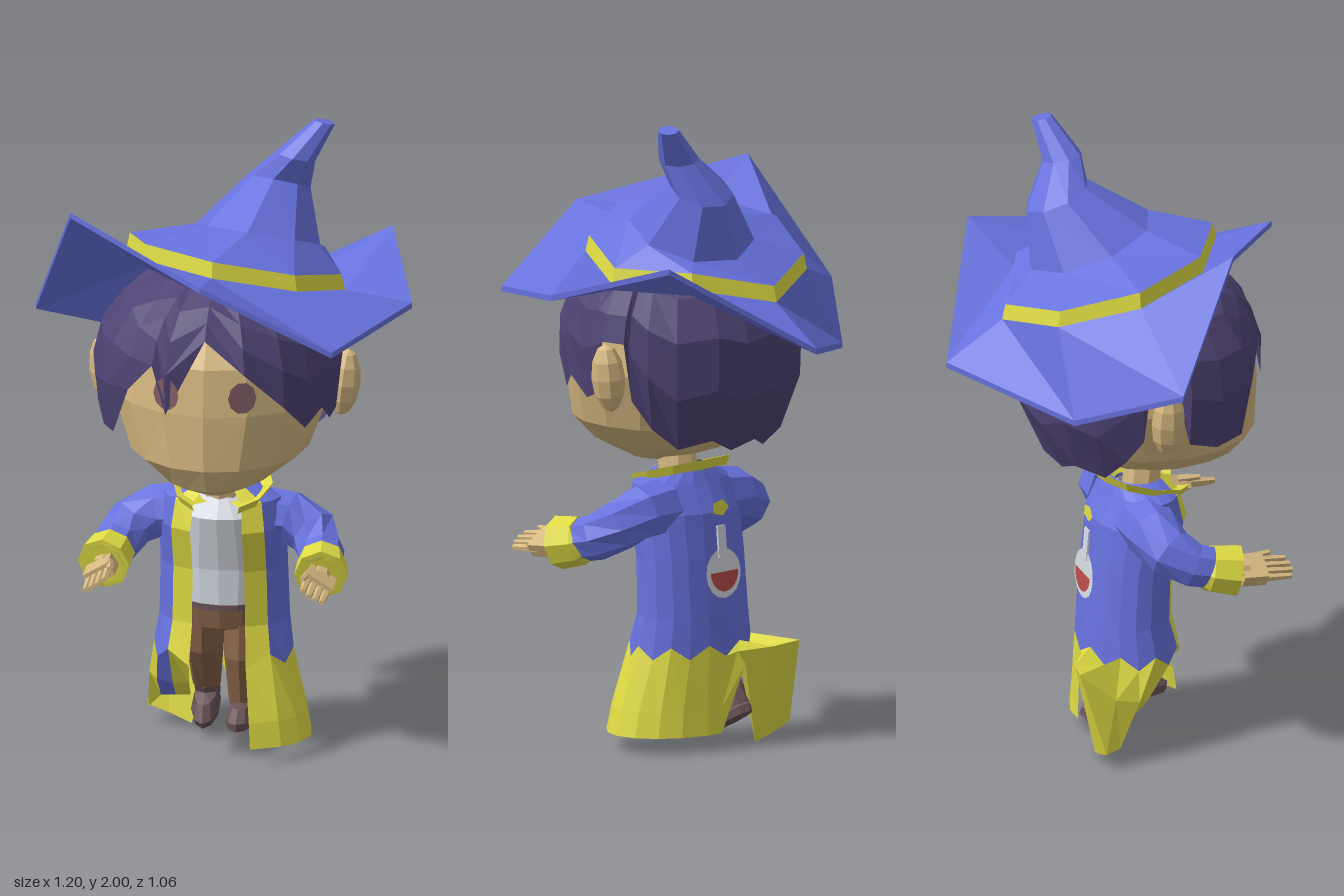
import * as THREE from 'three';

const V = (x, y, z) => new THREE.Vector3(x, y, z);
const rad = THREE.MathUtils.degToRad;
const mat = (name, color) => {
  const m = new THREE.MeshStandardMaterial({ color, flatShading: true, side: THREE.DoubleSide });
  m.name = name;
  return m;
};

export function createModel() {
  const blue = mat('blue cloth', 0x6772de), yellow = mat('yellow trim', 0xdfdb44);
  const skin = mat('skin', 0xd7b981), hairMat = mat('dark purple hair', 0x4f4374);
  const brown = mat('brown trousers', 0x876348), bootMat = mat('boot leather', 0x695356);
  const white = mat('pale shirt', 0xd6dae2), red = mat('red', 0xb84c48), iris = mat('eye', 0x845f66);
  const model = new THREE.Group();
  model.name = 'wizardFigure';

  const add = (name, geo, m, parent = model) => {
    const mesh = new THREE.Mesh(geo, m);
    mesh.name = name;
    parent.add(mesh);
    return mesh;
  };

  // Skin of quads between rows of points; pick(row, column) chooses each quad's material
  const sheet = (name, rows, mats, pick = () => 0, closed = true, parent = model) => {
    const lists = mats.map(() => []), n = rows[0].length;
    for (let r = 0; r < rows.length - 1; r++) {
      for (let c = 0; c < (closed ? n : n - 1); c++) {
        const d = (c + 1) % n;
        const a = rows[r][c], b = rows[r][d], e = rows[r + 1][d], f = rows[r + 1][c];
        for (const p of [a, b, e, a, e, f]) lists[pick(r, c)].push(p.x, p.y, p.z);
      }
    }
    const geo = new THREE.BufferGeometry();
    geo.setAttribute('position', new THREE.Float32BufferAttribute(lists.flat(), 3));
    let start = 0;
    lists.forEach((l, i) => { geo.addGroup(start, l.length / 3, i); start += l.length / 3; });
    geo.computeVertexNormals();
    return add(name, geo, mats.length > 1 ? mats : mats[0], parent);
  };

  // Horizontal elliptical ring; angle 0 is the front, positive towards +x
  const ring = ([y, rx, rz, cz, cx = 0], angles) =>
    angles.map(a => V(cx + rx * Math.sin(rad(a)), y, cz + rz * Math.cos(rad(a))));
  const around = n => Array.from({ length: n }, (_, i) => i * 360 / n);
  const stack = (name, rings, m, n = 12, parent = model) =>
    sheet(name, rings.map(r => ring(r, around(n))), [m], undefined, true, parent);

  // Limb: rings set square to a path, each point [x, y, z, radius]
  const limbRows = (pts, n) => pts.map((p, i) => {
    const at = q => V(q[0], q[1], q[2]);
    const dir = at(pts[Math.min(i + 1, pts.length - 1)]).sub(at(pts[Math.max(i - 1, 0)])).normalize();
    const side = V(0, 1, 0).cross(dir).normalize(), up = dir.clone().cross(side);
    return around(n).map(a => at(p).addScaledVector(side, p[3] * Math.cos(rad(a)))
      .addScaledVector(up, p[3] * Math.sin(rad(a))));
  });

  // Head, neck, ears and eyes
  stack('head', [[0.875, 0, 0, 0.21], [0.885, 0.06, 0.08, 0.2], [0.94, 0.17, 0.235, 0.175],
    [1.02, 0.28, 0.315, 0.14], [1.2, 0.347, 0.358, 0.1], [1.35, 0.335, 0.345, 0.1],
    [1.45, 0.27, 0.28, 0.1], [1.52, 0, 0, 0.1]], skin, 16);
  stack('neck', [[0.78, 0.065, 0.065, 0.09], [0.94, 0.055, 0.06, 0.11]], skin, 8);
  for (const s of [-1, 1]) {
    const ear = add(s > 0 ? 'leftEar' : 'rightEar', new THREE.SphereGeometry(1, 8, 6), skin);
    ear.scale.set(0.05, 0.11, 0.055);
    ear.position.set(s * 0.376, 1.2, 0.045);
    ear.rotation.z = -s * 0.12;
    const eye = add(s > 0 ? 'leftEye' : 'rightEye', new THREE.CircleGeometry(0.045, 10), iris);
    eye.scale.y = 1.15;
    eye.position.set(s * 0.12, 1.265, 0.44);
    eye.rotation.y = s * 0.36;
  }

  // Hair: dome with a jagged hem, given as [angle, height]; the right side lock flares out
  const hem = [[0, 1.44], [20, 1.34], [40, 1.22], [55, 1.13], [66, 1.18], [78, 1.12], [86, 1.14], [92, 1.31],
    [104, 1.31], [107, 1.13], [116, 1.04], [130, 0.97], [150, 1], [165, 0.96], [180, 0.99], [195, 0.96],
    [212, 1], [230, 0.97], [244, 1.05], [253, 1.13], [256, 1.31], [268, 1.31], [274, 1.12], [290, 1.08],
    [306, 1.09], [318, 1.25], [333, 1.35], [341, 1.2]];
  const hairRows = [0, 1, 2, 3, 4, 5].map(k => hem.map(([a, h]) => {
    const f = Math.acos((h - 1.28) / (h > 1.28 ? 0.3 : 0.42)) * k / 5, c = Math.cos(f);
    const flare = a > 270 && a < 310 ? 1 + 0.018 * k : 1;
    const r = Math.pow(Math.max(Math.sin(f), 0), 0.7) * flare;
    return ring([1.28 + (c > 0 ? 0.3 : 0.42) * c, 0.376 * r, 0.388 * r, 0.085], [a])[0];
  }));
  sheet('hair', hairRows, [hairMat]);

  // Hat: curled eight-cornered brim, band, sloping shelf and bent cone
  const brim = [[0.045, 1.32, -0.53], [0.47, 1.6, -0.3], [0.595, 1.485, 0.085], [0.405, 1.44, 0.47],
    [0, 1.65, 0.53], [-0.455, 1.77, 0.23], [-0.6, 1.39, 0.01], [-0.36, 1.25, -0.26]].map(p => V(...p));
  const base = [[0.035, -0.35, 0], [0.28, -0.22, 0.06], [0.375, 0.03, 0.01], [0.26, 0.25, 0], [0.01, 0.35, 0],
    [-0.23, 0.215, 0], [-0.32, -0.025, 0], [-0.205, -0.255, 0]];
  const baseRow = (y, k) => base.map(([x, z, lift]) => V(x * k, y + lift - 0.15 * x + 0.25 * z, z * k));
  const cone = (x, y, z, r, tiltX, tiltZ) => base.map((_, i) => {
    const a = rad(180 - 45 * i), dx = r * Math.sin(a), dz = r * Math.cos(a);
    return V(x + dx, y + tiltX * dx + tiltZ * dz, z + dz);
  });
  sheet('hat', [brim, baseRow(1.535, 1), baseRow(1.585, 0.97), cone(0.09, 1.64, -0.04, 0.195, -0.12, 0.36),
    cone(0.14, 1.785, -0.13, 0.1, -0.15, 0.4), cone(0.2, 1.885, -0.09, 0.062, -0.2, 0.15),
    cone(0.285, 1.99, -0.125, 0.033, -0.2, 0.15), cone(0.285, 1.99, -0.125, 0, 0, 0)],
  [blue, yellow], r => (r === 1 ? 1 : 0));
  sheet('brimUnderside', [brim, brim.map(p => V(p.x, p.y - 0.018, p.z)), baseRow(1.517, 1),
    baseRow(1.55, 0.6)], [blue]);

  // Shirt, belt and hips
  stack('shirt', [[0.84, 0.06, 0.065, 0.085], [0.78, 0.14, 0.12, 0.09], [0.6, 0.165, 0.116, 0.05],
    [0.47, 0.15, 0.115, 0.045]], white, 16);
  stack('belt', [[0.485, 0.152, 0.118, 0.045], [0.465, 0.15, 0.118, 0.045]], bootMat, 16);
  stack('hips', [[0.47, 0.145, 0.112, 0.045], [0.4, 0.125, 0.1, 0.045], [0.36, 0, 0, 0.045]], brown, 12);

  // Long open coat with trimmed front edges and a slit at the back
  const cols = [24, 47, 66, 85, 105, 125, 143, 162, 180, 198, 217, 235, 255, 275, 294, 313, 336];
  const coat = [[0.87, 0.1, 0.08, 0.08], [0.83, 0.185, 0.11, 0.09], [0.74, 0.2, 0.15, 0.08],
    [0.6, 0.2, 0.132, 0.05], [0.42, 0.205, 0.137, 0.04], [0.31, 0.22, 0.155, 0.05],
    [0.13, 0.265, 0.185, 0.075], [0.05, 0.28, 0.195, 0.08]];
  // Right half of the skirt, from the slit to the front edge, swept back and lifted behind
  const swept = {
    6: [[-0.04, 0.3, -0.115], [-0.14, 0.31, -0.175], [-0.235, 0.32, -0.195], [-0.25, 0.22, -0.08],
      [-0.245, 0.2, 0.0], [-0.215, 0.19, 0.04], [-0.16, 0.19, 0.07], [-0.105, 0.2, 0.09]],
    7: [[-0.06, 0.26, -0.13], [-0.13, 0.0, -0.105], [-0.2, 0.025, -0.12], [-0.27, 0.05, -0.12],
      [-0.26, 0.06, -0.07], [-0.215, 0.11, -0.04], [-0.165, 0.12, -0.02], [-0.115, 0.13, 0.0]],
  };
  const coatRows = coat.map((r, i) => {
    const row = ring(r, cols);
    if (i === 5) row.forEach((p, c) => { p.y += (c % 2 ? 0.02 : -0.02); });
    if (i > 5) {
      row[8].set(0.02, r[0], -0.105);
      swept[i].forEach((p, k) => row[9 + k].set(...p));
    }
    return row;
  });
  sheet('coat', coatRows, [blue, yellow], (r, c) => {
    if (c === 0 || c === cols.length - 2) return 1;
    if (c === cols.length - 3) return 0;
    return r > 4 ? 1 : 0;
  }, false);

  // Turned-out collar, higher behind
  const collarAngles = [28, 55, 90, 125, 155, 180, 205, 235, 270, 305, 332];
  const collarRow = (r, y, lift) => ring([y, r, r, 0.09], collarAngles)
    .map(p => V(p.x, p.y - lift * (p.z - 0.09), p.z));
  sheet('collar', [collarRow(0.075, 0.835, 0.2), collarRow(0.158, 0.87, 0.27), collarRow(0.145, 0.842, 0.27)],
    [yellow], undefined, false);

  // Flask badge on the back
  const badge = new THREE.Group();
  badge.name = 'backBadge';
  badge.position.set(0, 0.55, -0.093);
  badge.rotation.set(0.08, Math.PI, 0);
  model.add(badge);
  add('badgeBowl', new THREE.CircleGeometry(0.078, 16), white, badge);
  add('badgeNeck', new THREE.BoxGeometry(0.036, 0.1, 0.006), white, badge).position.set(0, 0.1, 0);
  const fill = add('badgeFill', new THREE.CircleGeometry(0.062, 12, Math.PI, Math.PI), red, badge);
  fill.position.set(0, 0.005, 0.004);
  const spark = add('badgeSpark', new THREE.CircleGeometry(0.038, 5), yellow, badge);
  spark.position.set(0, 0.205, 0.002);
  spark.scale.y = 0.7;

  // Arms reaching forward, with open cuffs lined in blue, and hands
  for (const s of [-1, 1]) {
    const arm = new THREE.Group();
    arm.name = s > 0 ? 'leftArm' : 'rightArm';
    model.add(arm);
    const path = pts => limbRows(pts.map(([x, y, z, r]) => [x * s, y, z, r]), 8);
    sheet('sleeve', path([[0.12, 0.755, 0.06, 0.095], [0.21, 0.75, 0.06, 0.087], [0.285, 0.715, 0.085, 0.08],
      [0.32, 0.675, 0.15, 0.073], [0.33, 0.66, 0.21, 0.068]]), [blue], undefined, true, arm);
    sheet('cuff', path([[0.328, 0.665, 0.19, 0.066], [0.33, 0.66, 0.2, 0.076], [0.342, 0.645, 0.285, 0.084],
      [0.343, 0.644, 0.287, 0.068], [0.33, 0.66, 0.2, 0.055]]), [yellow, blue], r => (r === 3 ? 1 : 0), true, arm);
    sheet('wrist', path([[0.33, 0.655, 0.17, 0.038], [0.34, 0.64, 0.32, 0.036]]), [skin], undefined, true, arm);
    const hand = new THREE.Group();
    hand.name = 'hand';
    hand.position.set(s * 0.342, 0.64, 0.335);
    hand.rotation.set(0.08, 0, -s * 0.55);
    arm.add(hand);
    add('palm', new THREE.BoxGeometry(0.092, 0.046, 0.08), skin, hand);
    for (let i = 0; i < 4; i++) {
      const finger = add('finger', new THREE.CylinderGeometry(0.009, 0.014, 0.11, 5), skin, hand);
      finger.rotation.x = Math.PI / 2;
      finger.position.set((i - 1.5) * 0.023, 0, 0.08 - Math.abs(i - 1.4) * 0.01);
    }
    const thumb = add('thumb', new THREE.CylinderGeometry(0.009, 0.014, 0.07, 5), skin, hand);
    thumb.rotation.set(Math.PI / 2, 0, s * 0.2);
    thumb.position.set(-s * 0.046, 0.01, 0.035);
  }

  // Striding legs and boots: left one raised in front, right one trailing with its toe down
  const leg = (name, pts, bx, by, bz, tilt) => {
    stack(name, pts, brown, 8);
    const boot = new THREE.Group();
    boot.name = name + 'Boot';
    boot.position.set(bx, by, bz);
    boot.rotation.x = tilt;
    model.add(boot);
    stack('bootShaft', [[0.09, 0.042, 0.045, -0.01], [0.03, 0.04, 0.045, -0.01]], bootMat, 8, boot);
    stack('bootFoot', [[0.07, 0, 0, 0.02], [0.06, 0.034, 0.06, 0.02], [0.025, 0.045, 0.092, 0.035],
      [0, 0.042, 0.088, 0.035], [0, 0, 0, 0.035]], bootMat, 10, boot);
  };
  leg('rightLeg', [[0.44, 0.062, 0.085, 0.045, -0.06], [0.3, 0.058, 0.068, 0.03, -0.065],
    [0.15, 0.044, 0.046, -0.06, -0.075]], -0.075, 0.085, -0.09, 0.5);
  leg('leftLeg', [[0.44, 0.062, 0.085, 0.045, 0.06], [0.3, 0.056, 0.066, 0.085, 0.06],
    [0.15, 0.044, 0.046, 0.07, 0.06]], 0.06, 0.085, 0.08, 0);

  return model;
}
